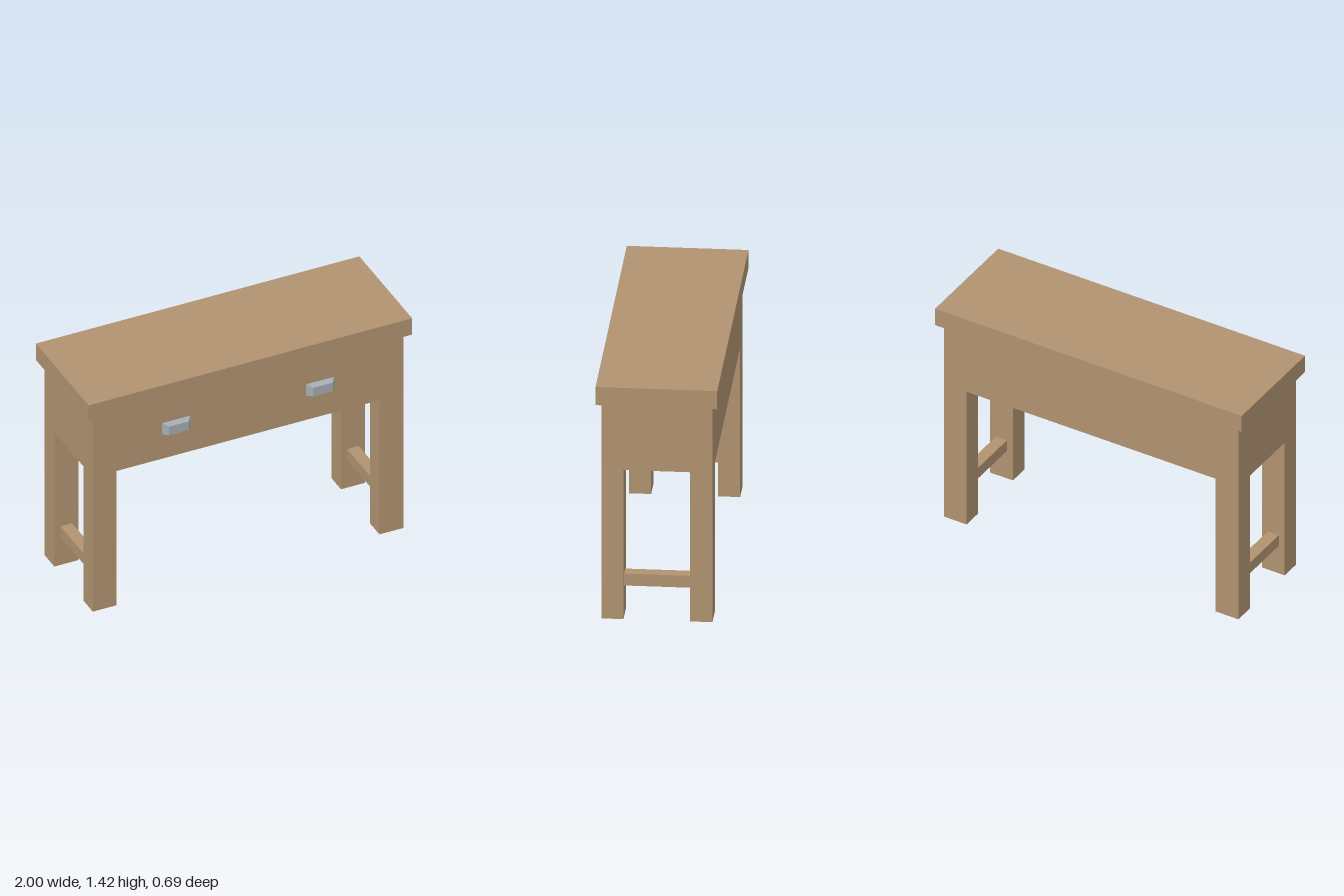
import * as THREE from 'three';

export function createModel() {
  const group = new THREE.Group();
  const wood = new THREE.MeshStandardMaterial({ color: 0xb09270 });
  wood.name = 'wood';
  const metal = new THREE.MeshStandardMaterial({ color: 0xa3abb2 });
  metal.name = 'metal';

  // box given by its lower and upper limits on each axis
  function box(name, [x0, x1], [y0, y1], [z0, z1]) {
    const mesh = new THREE.Mesh(new THREE.BoxGeometry(x1 - x0, y1 - y0, z1 - z0), wood);
    mesh.position.set((x0 + x1) / 2, (y0 + y1) / 2, (z0 + z1) / 2);
    mesh.name = name;
    group.add(mesh);
  }

  // slab top and solid drawer case
  box('tableTop', [-1, 1], [1.31, 1.42], [-0.343, 0.338]);
  box('drawerCase', [-0.96, 0.96], [0.905, 1.31], [-0.313, 0.308]);

  // handle: a block whose front face is narrower than its base
  const handleGeometry = new THREE.BoxGeometry(0.172, 0.076, 0.037);
  const p = handleGeometry.attributes.position;
  for (let i = 0; i < p.count; i++) {
    if (p.getZ(i) > 0) p.setXY(i, p.getX(i) * 0.72, p.getY(i) * 0.76);
  }
  handleGeometry.computeVertexNormals();

  for (const side of [-1, 1]) {
    const name = side > 0 ? 'left' : 'right';
    const span = (a, b) => (side > 0 ? [a, b] : [-b, -a]);

    // legs and the stretcher between them
    box(name + 'FrontLeg', span(0.812, 0.96), [0, 0.905], [0.185, 0.308]);
    box(name + 'BackLeg', span(0.812, 0.96), [0, 0.905], [-0.313, -0.188]);
    box(name + 'Stretcher', span(0.85, 0.922), [0.188, 0.26], [-0.188, 0.185]);

    const handle = new THREE.Mesh(handleGeometry, metal);
    handle.name = name + 'Handle';
    handle.position.set(side * 0.445, 1.107, 0.3265);
    group.add(handle);
  }
  return group;
}
